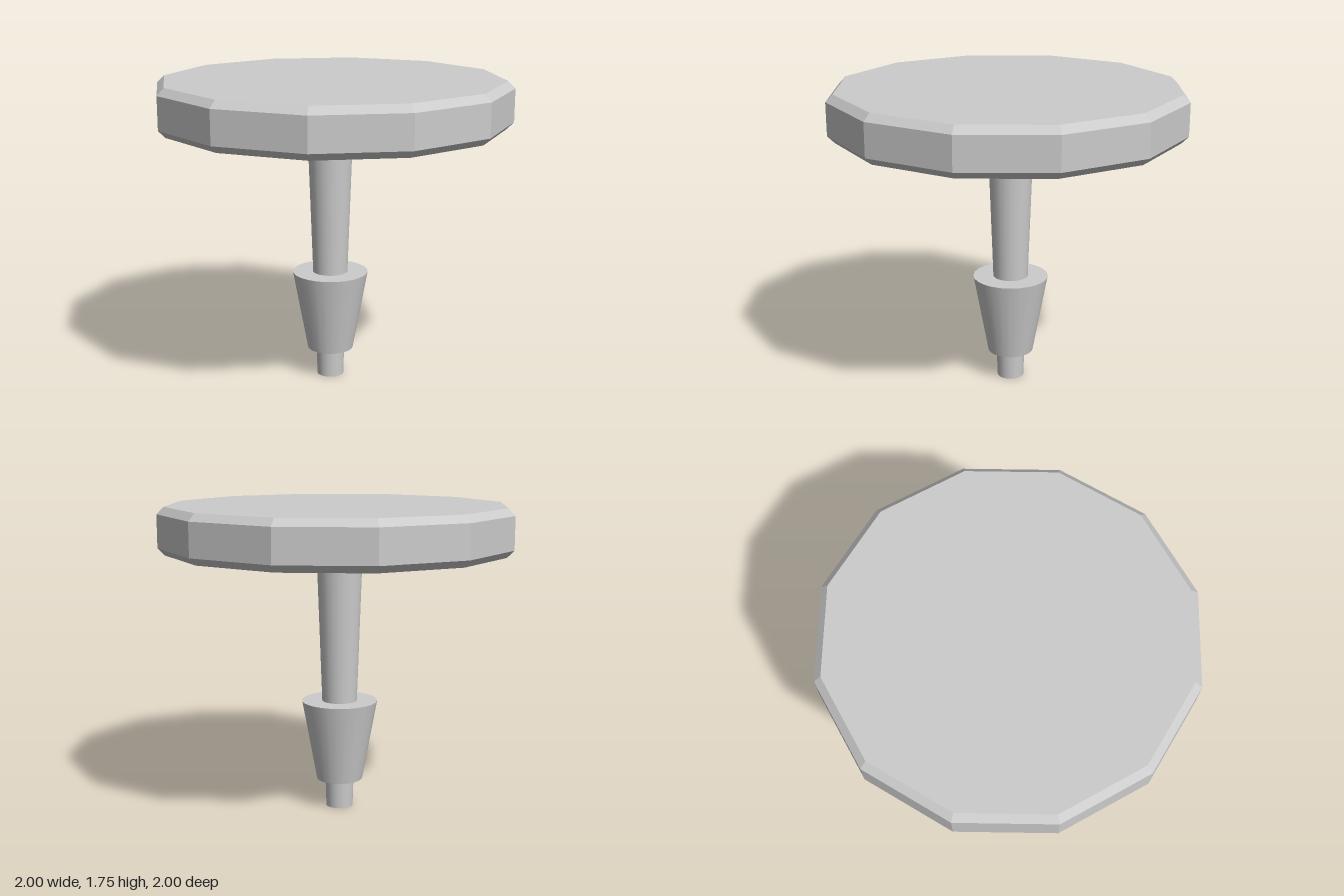
import * as THREE from 'three';

const grey = new THREE.MeshStandardMaterial({ color: 0xcccccc });
const greyFlat = new THREE.MeshStandardMaterial({ color: 0xcccccc, flatShading: true });

export function createModel() {
  const model = new THREE.Group();

  // Twelve-sided disc with bevelled rims, corners on the x and z axes
  const profile = [[0, 1.485], [0.96, 1.485], [1, 1.525], [1, 1.71], [0.96, 1.75], [0, 1.75]]
    .map(([r, y]) => new THREE.Vector2(r, y));
  const disc = new THREE.Mesh(new THREE.LatheGeometry(profile, 12), greyFlat);
  disc.name = 'discTop';
  model.add(disc);

  // Tapered round parts of the shaft, set slightly behind the disc centre
  const shaft = new THREE.Group();
  shaft.name = 'shaft';
  shaft.position.z = -0.02;
  model.add(shaft);

  function taper(name, rTop, rBottom, yBottom, yTop) {
    const mesh = new THREE.Mesh(
      new THREE.CylinderGeometry(rTop, rBottom, yTop - yBottom, 24), grey);
    mesh.name = name;
    mesh.position.y = (yBottom + yTop) / 2;
    shaft.add(mesh);
  }
  taper('stem', 0.13, 0.1, 0.63, 1.485);
  taper('collar', 0.217, 0.132, 0.165, 0.63);
  taper('tip', 0.082, 0.077, 0, 0.165);

  return model;
}
